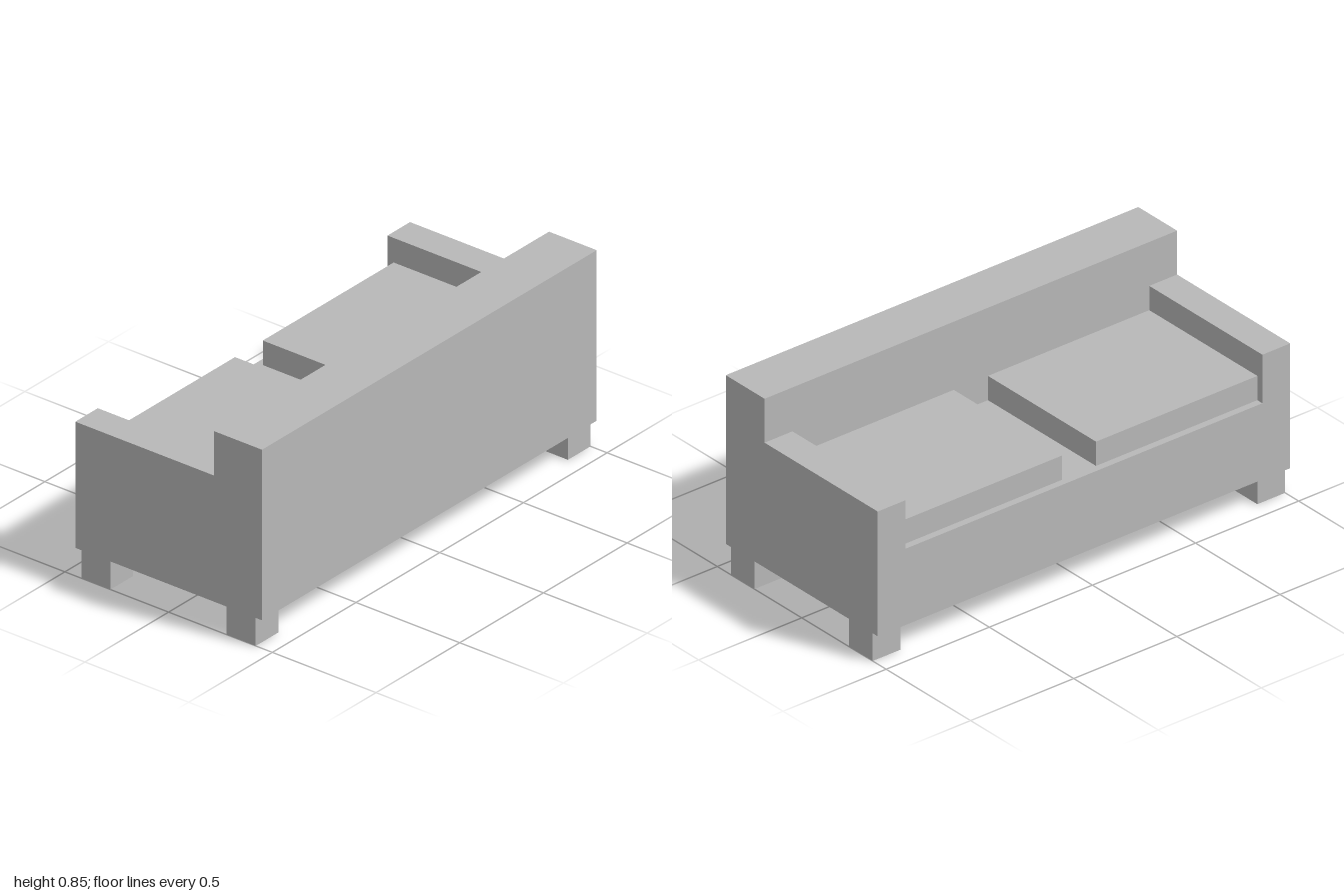
import * as THREE from 'three';

export function createModel() {
  const sofa = new THREE.Group();
  sofa.name = 'sofa';
  const grey = new THREE.MeshStandardMaterial({ color: 0xb8b8b8 });
  grey.name = 'grey';

  // Box given by its [min, max] extents on each axis
  const box = (name, [x0, x1], [y0, y1], [z0, z1]) => {
    const geometry = new THREE.BoxGeometry(x1 - x0, y1 - y0, z1 - z0);
    const mesh = new THREE.Mesh(geometry, grey);
    mesh.position.set((x0 + x1) / 2, (y0 + y1) / 2, (z0 + z1) / 2);
    mesh.name = name;
    sofa.add(mesh);
  };

  // Same box on either side of x = 0
  const sided = (side, x0, x1) => (side > 0 ? [x0, x1] : [-x1, -x0]);

  const inner = 0.865; // inner face of the arms
  const bottom = 0.12; // underside of the body
  const seatTop = 0.45;

  // Body: the backrest stands on the +z side, the seat opens toward -z
  box('backrest', [-1, 1], [bottom, 0.85], [0.22, 0.45]);
  box('seatBase', [-inner, inner], [bottom, seatTop], [-0.45, 0.22]);

  for (const side of [1, -1]) {
    const label = side > 0 ? 'left' : 'right';
    box(label + 'Arm', sided(side, inner, 1), [bottom, 0.66], [-0.45, 0.22]);
    box(label + 'Cushion', sided(side, 0.083, inner), [seatTop, 0.555], [-0.42, 0.22]);

    // Square feet, flush with the sides
    box(label + 'FrontLeg', sided(side, inner, 1), [0, bottom], [0.28, 0.42]);
    box(label + 'BackLeg', sided(side, inner, 1), [0, bottom], [-0.42, -0.28]);
  }

  return sofa;
}
